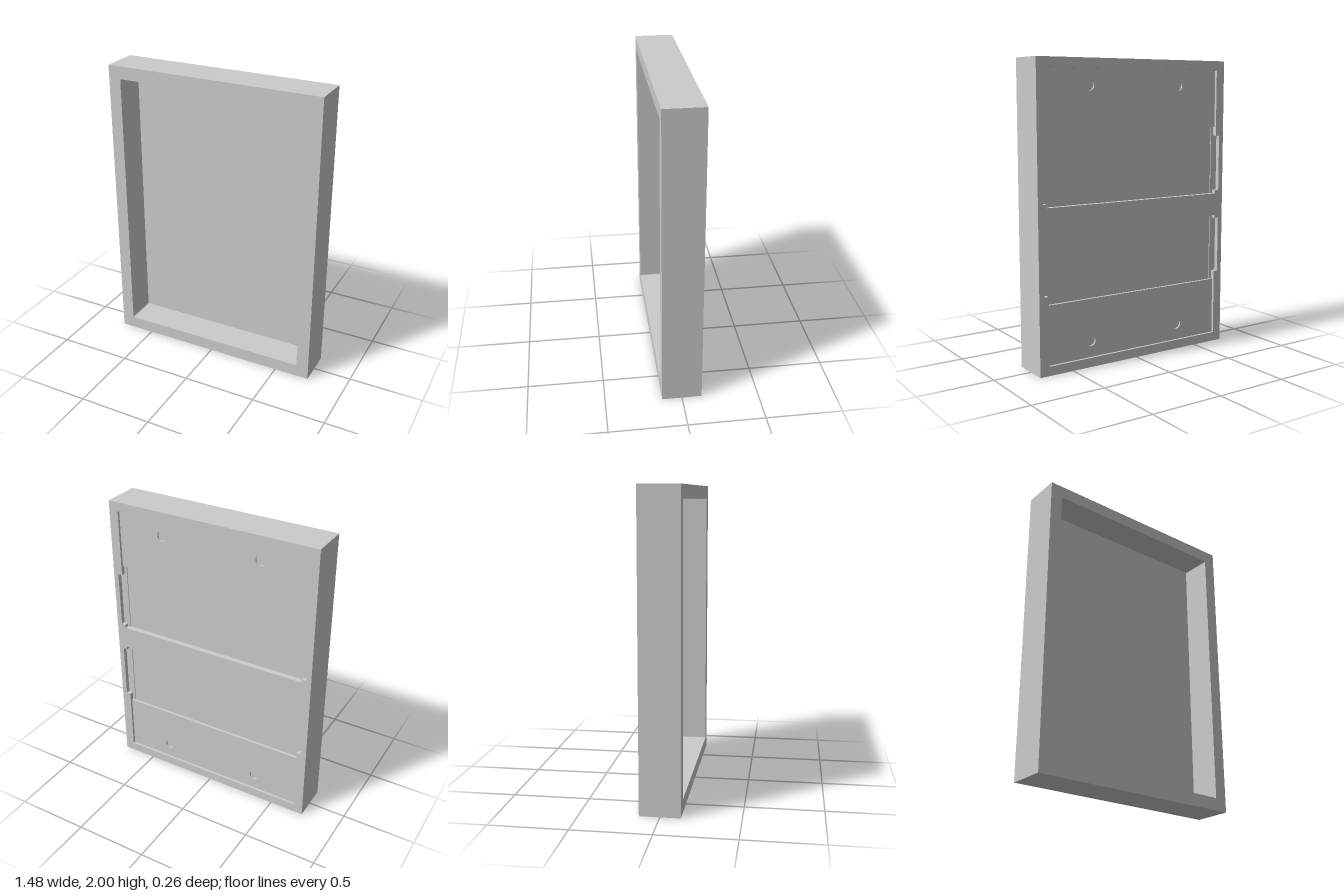
import * as THREE from 'three';

const W = 0.74, H = 2;

// Outline running from y0 to y1, with an optional tab notch on each side
function outline(Type, x, y0, y1, notch) {
  const right = [[x, y0]];
  if (notch) right.push([x, 1.10], [0.705, 1.10], [0.705, 1.484], [x, 1.484]);
  right.push([x, y1]);
  const left = right.map(([px, py]) => [-px, py]).reverse();
  return new Type([...right, ...left].map(([px, py]) => new THREE.Vector2(px, py)));
}

// Same hole reflected about mid height
function mirrored(path) {
  return new THREE.Path(path.getPoints().map(p => new THREE.Vector2(p.x, H - p.y)).reverse());
}

function circle(x, y, r) {
  const p = new THREE.Path();
  p.absarc(x, y, r, 0, Math.PI * 2, true);
  return p;
}

function roundedHole(x, y0, y1, r) {
  const p = new THREE.Path();
  p.absarc(x - r, y1 - r, r, 0, Math.PI / 2);
  p.absarc(-x + r, y1 - r, r, Math.PI / 2, Math.PI);
  p.absarc(-x + r, y0 + r, r, Math.PI, Math.PI * 1.5);
  p.absarc(x - r, y0 + r, r, Math.PI * 1.5, Math.PI * 2);
  p.closePath();
  return p;
}

export function createModel() {
  const group = new THREE.Group();
  group.name = 'displayFrame';
  const material = new THREE.MeshStandardMaterial({ color: 0xcccccc });

  // Full-size slab from z0 to z1 with the given holes
  function slab(name, z0, z1, holes) {
    const shape = outline(THREE.Shape, W, 0, H);
    shape.holes.push(...holes);
    const geo = new THREE.ExtrudeGeometry(shape, { depth: z1 - z0, bevelEnabled: false, curveSegments: 16 });
    geo.translate(0, 0, z0);
    const mesh = new THREE.Mesh(geo, material);
    mesh.name = name;
    group.add(mesh);
  }

  // Front surround with its deep pocket
  slab('frontFrame', -0.085, 0.13, [roundedHole(0.655, 0.085, 1.915, 0.008)]);

  // Thin panel between the front pocket and the back compartments
  slab('dividerPanel', -0.094, -0.085, []);

  // Narrow side ledges at the compartment floors
  const floor = outline(THREE.Path, 0.655, 1.077, 1.545);
  slab('compartmentLedges', -0.1, -0.094, [floor, mirrored(floor)]);

  // Deep compartments with side tabs, and round sockets in the cover seats
  const deep = outline(THREE.Path, 0.675, 1.077, 1.545, true);
  const sockets = [];
  for (const x of [-0.352, 0.352]) for (const y of [0.17, 1.83]) sockets.push(circle(x, y, 0.033));
  slab('compartmentWalls', -0.113, -0.1, [deep, mirrored(deep), ...sockets]);

  // Shallow cover recesses separated by the middle bar
  const cover = outline(THREE.Path, 0.675, 1.077, 1.938, true);
  slab('backRim', -0.13, -0.113, [cover, mirrored(cover)]);

  return group;
}
